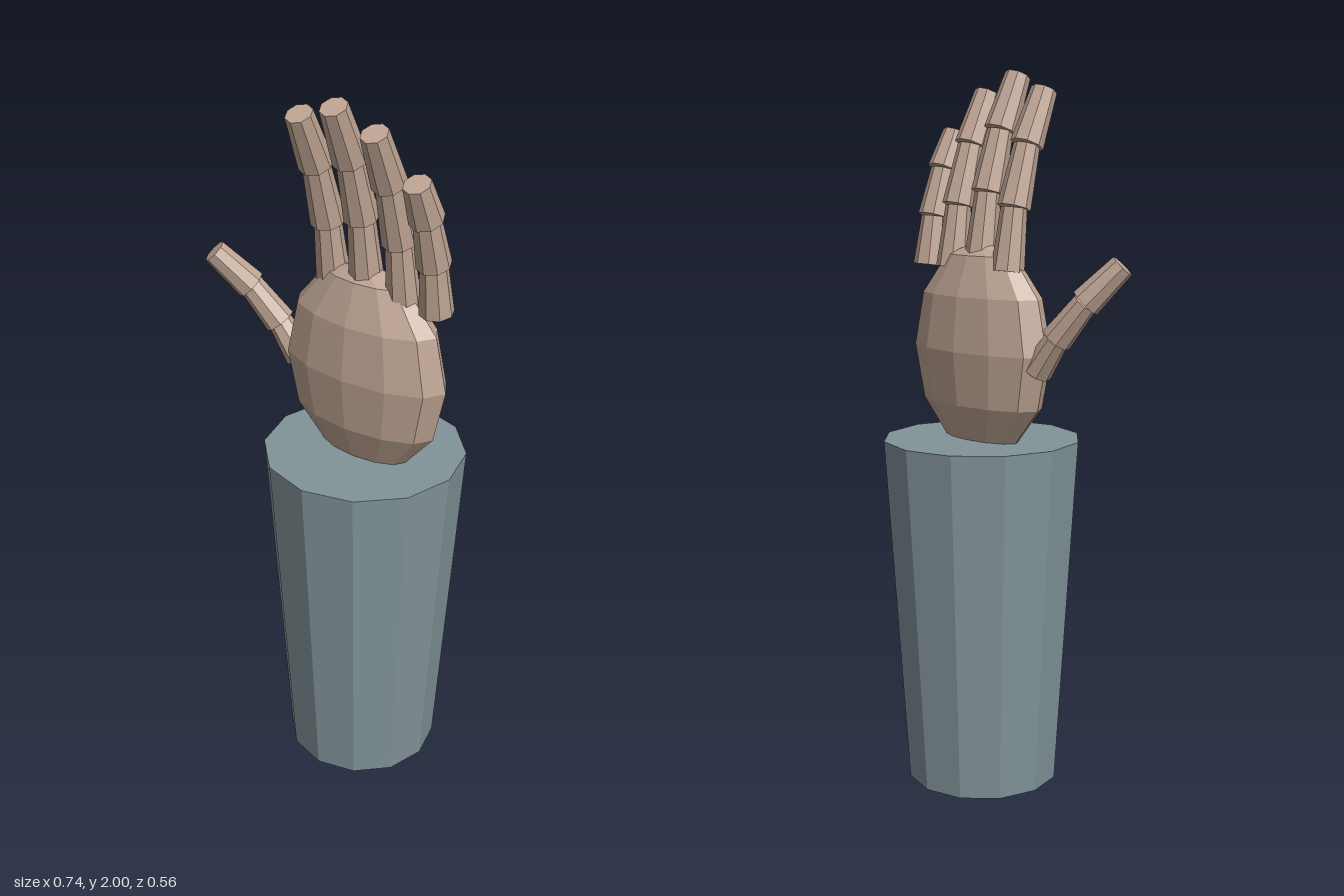
import * as THREE from 'three';

const skin = new THREE.MeshStandardMaterial({ color: 0xbfa594, flatShading: true });
const cloth = new THREE.MeshStandardMaterial({ color: 0x82949a, flatShading: true });
const CX = 0.093; // axis of the forearm
const UP = new THREE.Vector3(0, 1, 0);

// Chain of tapered segments, each wider at its base than the tip before it
function digit(name, points, baseRadius, tipRadius) {
  const group = new THREE.Group();
  group.name = name;
  for (let i = 0; i < points.length - 1; i++) {
    const dir = points[i + 1].clone().sub(points[i]);
    const geometry = new THREE.CylinderGeometry(tipRadius, baseRadius, dir.length(), 8);
    const segment = new THREE.Mesh(geometry, skin);
    segment.name = `${name}Segment${i + 1}`;
    segment.position.copy(points[i]).addScaledVector(dir, 0.5);
    segment.quaternion.setFromUnitVectors(UP, dir.normalize());
    group.add(segment);
  }
  return group;
}

// Finger joints: every segment bends a further 8 degrees forward
function fingerPoints(x, y, z, lengths) {
  const points = [new THREE.Vector3(x, y, z)];
  lengths.forEach((length, i) => {
    const tilt = THREE.MathUtils.degToRad(8 * (i + 1));
    const step = new THREE.Vector3(0, Math.cos(tilt), Math.sin(tilt)).multiplyScalar(length);
    points.push(points[i].clone().add(step));
  });
  return points;
}

export function createModel() {
  const hand = new THREE.Group();
  hand.name = 'hand';

  // Sleeve
  const sleeve = new THREE.Mesh(new THREE.CylinderGeometry(0.278, 0.215, 0.99, 12), cloth);
  sleeve.name = 'sleeve';
  sleeve.position.set(CX, 0.495, 0);
  hand.add(sleeve);

  // Palm: flattened faceted ball
  const palm = new THREE.Mesh(new THREE.SphereGeometry(1, 12, 6).scale(0.255, 0.3, 0.107), skin);
  palm.name = 'palm';
  palm.position.set(CX, 1.24, 0);
  hand.add(palm);

  // Fingers
  const fingers = [
    ['indexFinger', -0.112, 1.46, -0.008, [0.172, 0.172, 0.16]],
    ['middleFinger', 0, 1.498, 0, [0.172, 0.172, 0.164]],
    ['ringFinger', 0.111, 1.46, -0.008, [0.172, 0.172, 0.157]],
    ['littleFinger', 0.216, 1.461, -0.002, [0.138, 0.136, 0.113]],
  ];
  for (const [name, dx, y, z, lengths] of fingers) {
    hand.add(digit(name, fingerPoints(CX + dx, y, z, lengths), 0.046, 0.036));
  }

  // Thumb
  const thumb = [[-0.125, 1.2, 0], [-0.19, 1.29, 0.008], [-0.265, 1.39, 0.038], [-0.342, 1.488, 0.095]];
  hand.add(digit('thumb', thumb.map((p) => new THREE.Vector3(...p)), 0.043, 0.034));

  return hand;
}
